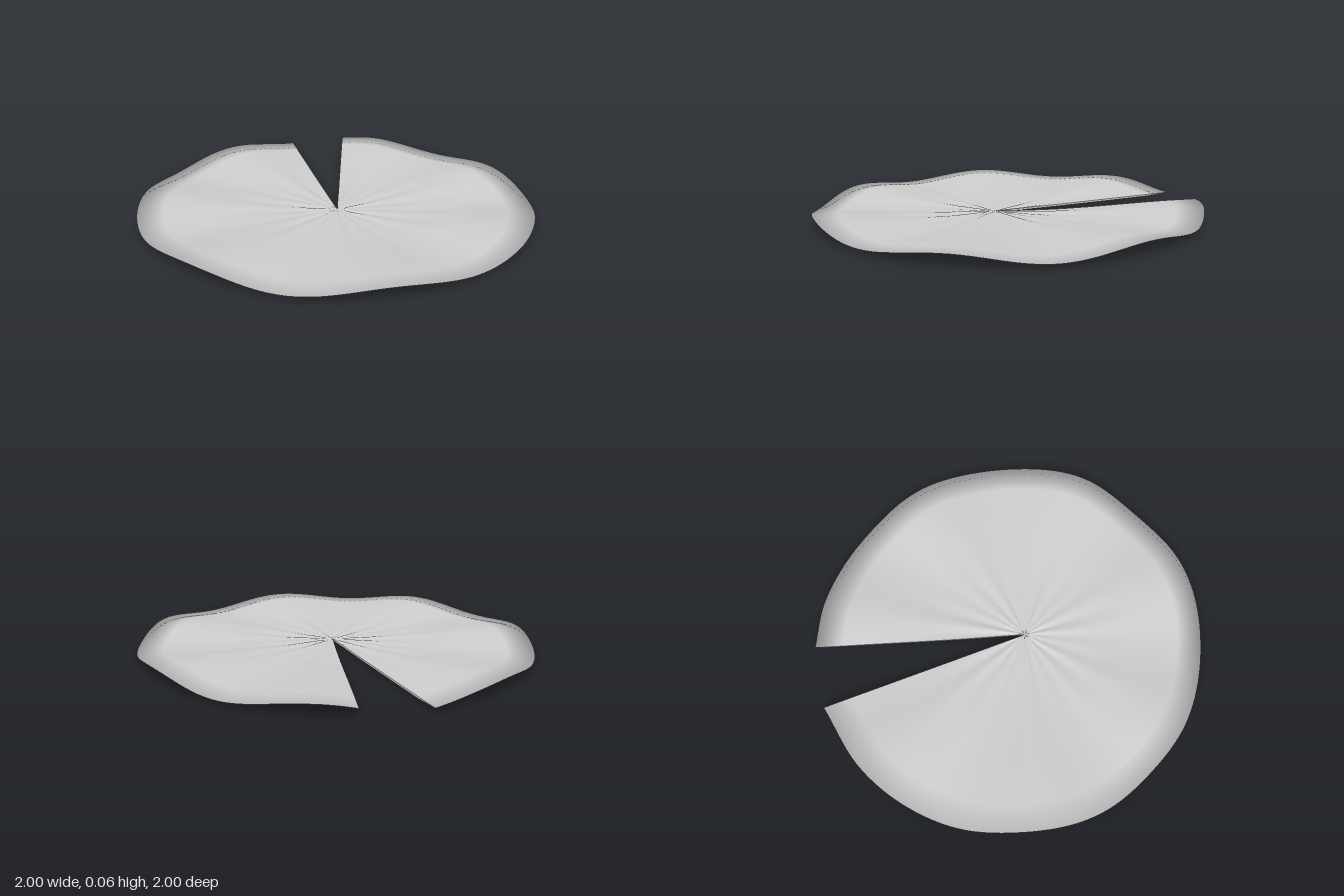
import * as THREE from 'three';

const HUB = new THREE.Vector3(0, 0, 0.08);
const RINGS = [0, 0.04, 0.1, 0.18, 0.27, 0.36, 0.46, 0.56, 0.66, 0.76, 0.87, 1];
const SEGMENTS = 168;

// Rim outline in plan (x, z), from one side of the notch round to the other
const OUTLINE = [
  [-0.25, -0.98], [-0.58, -0.82], [-0.8, -0.61], [-0.95, -0.33], [-1, 0.07],
  [-0.95, 0.33], [-0.81, 0.57], [-0.6, 0.79], [-0.31, 0.94], [0, 0.995],
  [0.31, 0.95], [0.58, 0.81], [0.83, 0.58], [0.96, 0.28], [1, 0],
  [0.95, -0.27], [0.83, -0.51], [0.6, -0.77], [0.32, -0.93], [0.065, -1],
];

// Upper surface: shallow dish, seven waves at the rim, fine ridges near the hub
function topHeight(u, angle) {
  const lift = THREE.MathUtils.smoothstep(u, 0.2, 1.05);
  const wave = Math.cos(7 * (angle - 0.21));
  const fade = Math.min(1, u / 0.12) * (1 - THREE.MathUtils.smoothstep(u, 0.25, 0.85));
  const ridge = 0.0022 * fade * (Math.cos(20 * angle) + 0.6 * Math.cos(13 * angle + 1));
  return 0.015 + lift * (0.027 + 0.02 * wave) + ridge;
}

// Thickness tapers to a knife edge at the rim
const thickness = (u) => 0.01 * (1 - THREE.MathUtils.smoothstep(u, 0.85, 1));

function padGeometry() {
  const curve = new THREE.CatmullRomCurve3(OUTLINE.map(([x, z]) => new THREE.Vector3(x, 0, z)));
  const rim = curve.getPoints(SEGMENTS);
  const n = RINGS.length;
  const last = n - 1;
  const positions = [];
  const index = [];

  const point = (s, r, under) => {
    const u = RINGS[r];
    const p = HUB.clone().lerp(rim[s], u);
    const angle = Math.atan2(rim[s].x - HUB.x * 0.5, rim[s].z);
    p.y = topHeight(u, angle) - (under ? thickness(u) : 0);
    return p;
  };
  const add = (p) => positions.push(p.x, p.y, p.z) / 3 - 1;

  // Upper and lower skins share the rim vertices, so the edge shades round
  const top = [];
  const bottom = [];
  for (let s = 0; s <= SEGMENTS; s++) {
    top.push(RINGS.map((_, r) => add(point(s, r, false))));
    bottom.push(RINGS.map((_, r) => (r === last ? top[s][r] : add(point(s, r, true)))));
  }
  for (let s = 0; s < SEGMENTS; s++) {
    for (let r = 0; r < last; r++) {
      const [a, b, c, d] = [top[s][r], top[s][r + 1], top[s + 1][r + 1], top[s + 1][r]];
      const [e, f, g, h] = [bottom[s][r], bottom[s][r + 1], bottom[s + 1][r + 1], bottom[s + 1][r]];
      index.push(a, b, c, e, g, f);
      if (r > 0) index.push(a, c, d, e, h, g);
    }
  }

  // Thin walls along both sides of the notch
  for (const s of [0, SEGMENTS]) {
    const up = RINGS.map((_, r) => add(point(s, r, false)));
    const low = RINGS.map((_, r) => add(point(s, r, true)));
    for (let r = 0; r < last; r++) {
      const quad = [up[r], low[r], low[r + 1], up[r], low[r + 1], up[r + 1]];
      index.push(...(s === 0 ? quad : quad.reverse()));
    }
  }

  const geometry = new THREE.BufferGeometry();
  geometry.setAttribute('position', new THREE.Float32BufferAttribute(positions, 3));
  geometry.setIndex(index);
  geometry.computeVertexNormals();
  geometry.computeBoundingBox();
  geometry.translate(0, -geometry.boundingBox.min.y, 0);
  return geometry;
}

export function createModel() {
  const leafGrey = new THREE.MeshStandardMaterial({ color: 0xcccccc, side: THREE.DoubleSide });
  leafGrey.name = 'leafGrey';
  const pad = new THREE.Mesh(padGeometry(), leafGrey);
  pad.name = 'lilyPad';
  const model = new THREE.Group();
  model.name = 'floatingLeaf';
  model.add(pad);
  return model;
}
